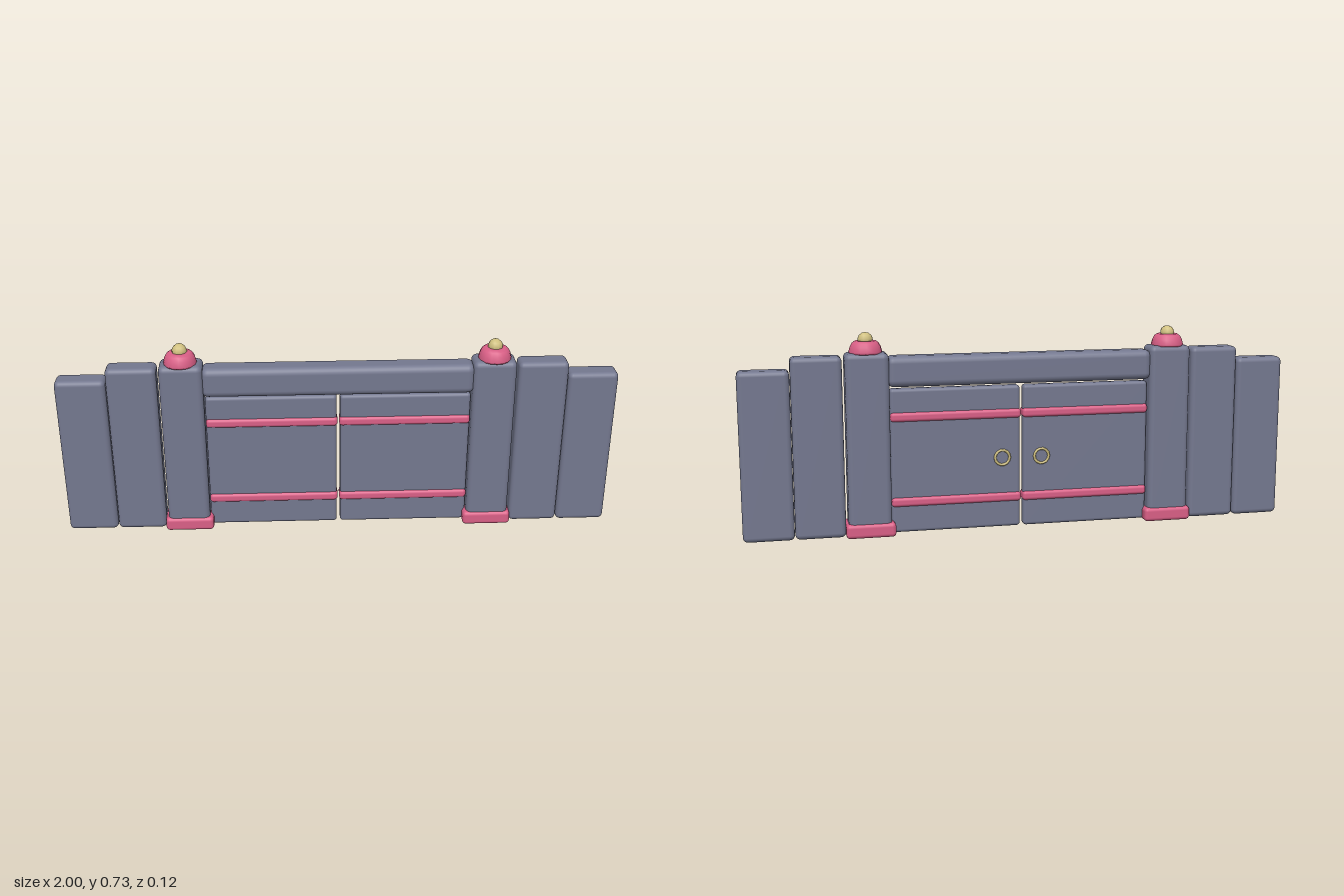
import * as THREE from 'three';
import { RoundedBoxGeometry } from 'three/addons/geometries/RoundedBoxGeometry.js';

export function createModel() {
  const group = new THREE.Group();
  group.name = 'gate';

  const makeMaterial = (name, color) => {
    const m = new THREE.MeshStandardMaterial({ color });
    m.name = name;
    return m;
  };
  const slate = makeMaterial('slate', 0x74788f);
  const pink = makeMaterial('pink', 0xd95f86);
  const gold = makeMaterial('gold', 0xd0c080);

  const add = (name, geometry, material, x = 0, y = 0, z = 0) => {
    const mesh = new THREE.Mesh(geometry, material);
    mesh.name = name;
    mesh.position.set(x, y, z);
    group.add(mesh);
    return mesh;
  };

  // Rounded block between two corners, symmetric in z
  const block = (name, x0, x1, y0, y1, halfDepth, radius, material) =>
    add(name, new RoundedBoxGeometry(Math.abs(x1 - x0), y1 - y0, halfDepth * 2, 3, radius),
      material, (x0 + x1) / 2, (y0 + y1) / 2);

  // Lintel across both doors
  block('lintel', -0.485, 0.485, 0.535, 0.645, 0.044, 0.025, slate);

  // Post cap profile, from the underside up to the centre of the top
  const capProfile = [[0, 0.655], [0.057, 0.655], [0.059, 0.662], [0.054, 0.68],
    [0.047, 0.693], [0.037, 0.7], [0, 0.7]].map(([r, y]) => new THREE.Vector2(r, y));

  for (const [side, s] of [['left', 1], ['right', -1]]) {
    // Fence planks
    block(side + 'OuterPlank', s * 0.821, s * 1.0, 0.003, 0.606, 0.041, 0.018, slate);
    block(side + 'InnerPlank', s * 0.641, s * 0.819, 0.003, 0.65, 0.041, 0.018, slate);

    // Gate post with foot, cap and finial
    block(side + 'Post', s * 0.478, s * 0.632, 0.003, 0.659, 0.051, 0.02, slate);
    block(side + 'PostFoot', s * 0.465, s * 0.642, 0, 0.052, 0.059, 0.014, pink);
    add(side + 'PostCap', new THREE.LatheGeometry(capProfile, 16), pink, s * 0.556);
    add(side + 'Finial', new THREE.SphereGeometry(0.027, 10, 7), gold, s * 0.556, 0.703);

    // Door leaf and its two bands
    block(side + 'Door', s * 0.006, s * 0.476, 0.006, 0.528, 0.022, 0.012, slate);
    for (const [level, y] of [['Upper', 0.427], ['Lower', 0.118]]) {
      block(side + level + 'Band', s * 0.003, s * 0.476, y - 0.017, y + 0.017, 0.03, 0.012, pink);
    }

    // Ring handle on the back of the door
    add(side + 'RingHandle', new THREE.TorusGeometry(0.027, 0.005, 6, 14), gold,
      s * 0.073, 0.266, -0.027);
  }
  return group;
}
